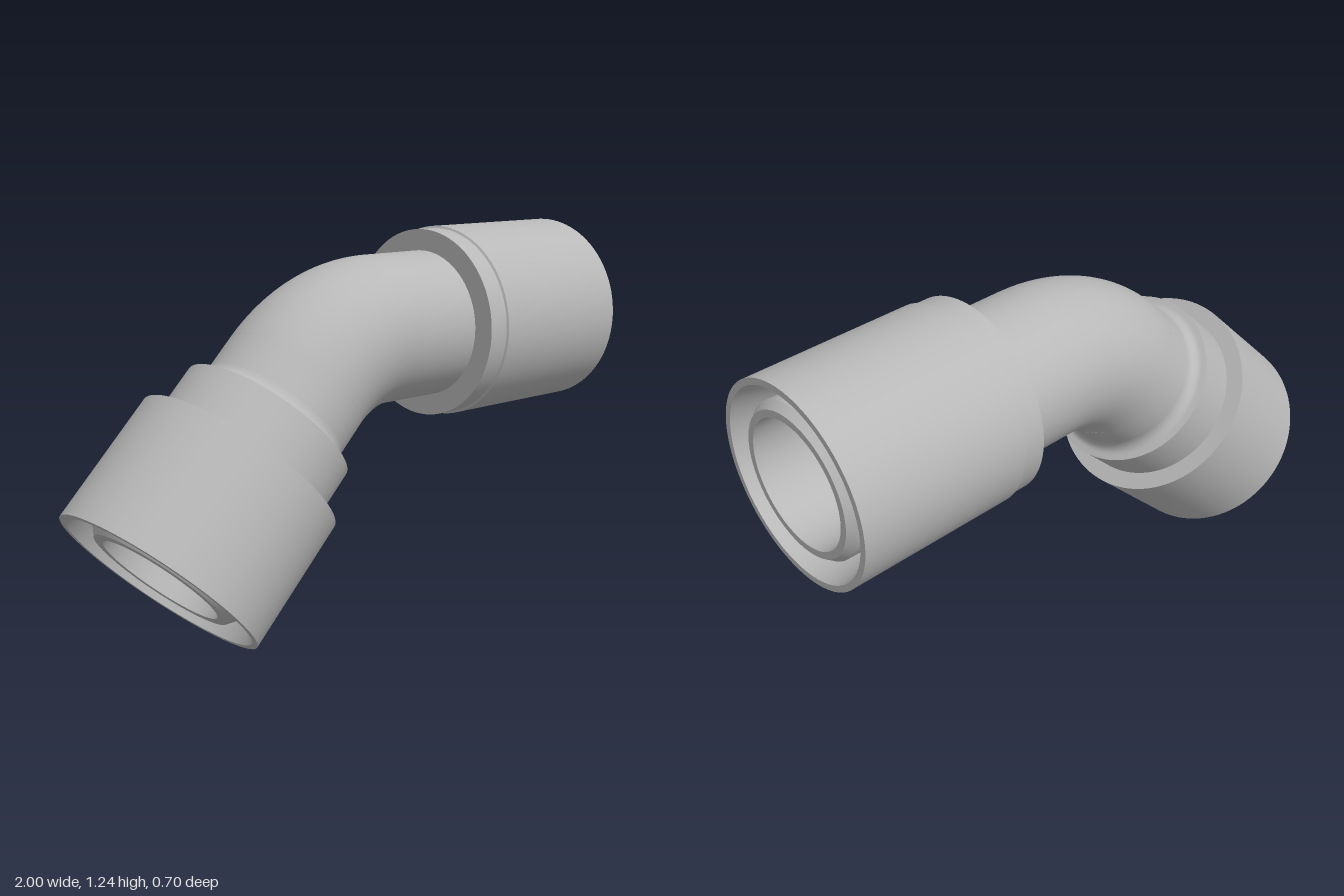
import * as THREE from 'three';
import { mergeGeometries } from 'three/addons/utils/BufferGeometryUtils.js';

const SEG = 96;
const PIPE = 0.245, BORE = 0.203, BEND = 0.466;

// Revolves [radius, height] points; every segment gets its own normals so edges stay sharp
function turned(points) {
  const strips = [];
  for (let i = 0; i < points.length - 1; i++) {
    const pair = [points[i], points[i + 1]].map(([r, h]) => new THREE.Vector2(r, h));
    strips.push(new THREE.LatheGeometry(pair, SEG));
  }
  return mergeGeometries(strips);
}

export function createModel() {
  const model = new THREE.Group();
  const steel = new THREE.MeshStandardMaterial({ color: 0xb8b8b8, side: THREE.DoubleSide });
  steel.name = 'steel grey';

  const add = (parent, name, geometry) => {
    const mesh = new THREE.Mesh(geometry, steel);
    mesh.name = name;
    parent.add(mesh);
    return mesh;
  };

  // 45 degree bend, outside wall and bore
  const elbow = new THREE.Group();
  elbow.name = 'elbow';
  elbow.position.set(0.115, 0.456, 0);
  elbow.rotation.z = Math.PI / 2;
  add(elbow, 'elbowWall', new THREE.TorusGeometry(BEND, PIPE, SEG, 40, Math.PI / 4));
  add(elbow, 'elbowBore', new THREE.TorusGeometry(BEND, BORE, SEG, 40, Math.PI / 4));
  model.add(elbow);

  // Horizontal end: height runs along +x
  const rightEnd = new THREE.Group();
  rightEnd.name = 'horizontalEnd';
  rightEnd.position.y = 0.922;
  rightEnd.rotation.z = -Math.PI / 2;
  add(rightEnd, 'horizontalPipe', turned([[PIPE, 0.115], [PIPE, 0.36]]));
  add(rightEnd, 'horizontalSleeve', turned([[PIPE, 0.358], [0.316, 0.358], [0.316, 0.432]]));
  add(rightEnd, 'horizontalNut', turned([
    [0.316, 0.432], [0.323, 0.436], [0.323, 1], [0.302, 1], [0.275, 0.86], [0.245, 0.86],
  ]));
  add(rightEnd, 'horizontalNozzle', turned([
    [0.245, 0.86], [0.245, 0.965], [0.226, 0.99], [BORE, 0.99], [BORE, 0.115],
  ]));
  model.add(rightEnd);

  // Slanted end: height 0 is the open face, negative heights lead back to the bend
  const lowerEnd = new THREE.Group();
  lowerEnd.name = 'slantedEnd';
  lowerEnd.position.set(-0.75, 0.25, 0);
  lowerEnd.rotation.z = Math.PI * 0.75;
  add(lowerEnd, 'slantedPipe', turned([[PIPE, -0.757], [PIPE, -0.642]]));

  // Smooth fillet between pipe and sleeve
  const fillet = [];
  for (let i = 0; i <= 8; i++) {
    const a = (i / 8) * Math.PI / 2;
    fillet.push(new THREE.Vector2(PIPE + 0.032 * (1 - Math.cos(a)), -0.642 + 0.042 * Math.sin(a)));
  }
  add(lowerEnd, 'sleeveFillet', new THREE.LatheGeometry(fillet, SEG));
  add(lowerEnd, 'slantedSleeve', turned([[0.277, -0.6], [0.293, -0.598], [0.293, -0.435]]));
  add(lowerEnd, 'slantedNut', turned([
    [0.293, -0.435], [0.35, -0.435], [0.35, 0], [0.33, 0], [0.302, -0.15], [0.26, -0.15],
  ]));
  add(lowerEnd, 'slantedNozzle', turned([
    [0.26, -0.15], [0.26, -0.04], [0.235, -0.01], [BORE, -0.01], [BORE, -0.757],
  ]));
  model.add(lowerEnd);

  return model;
}
